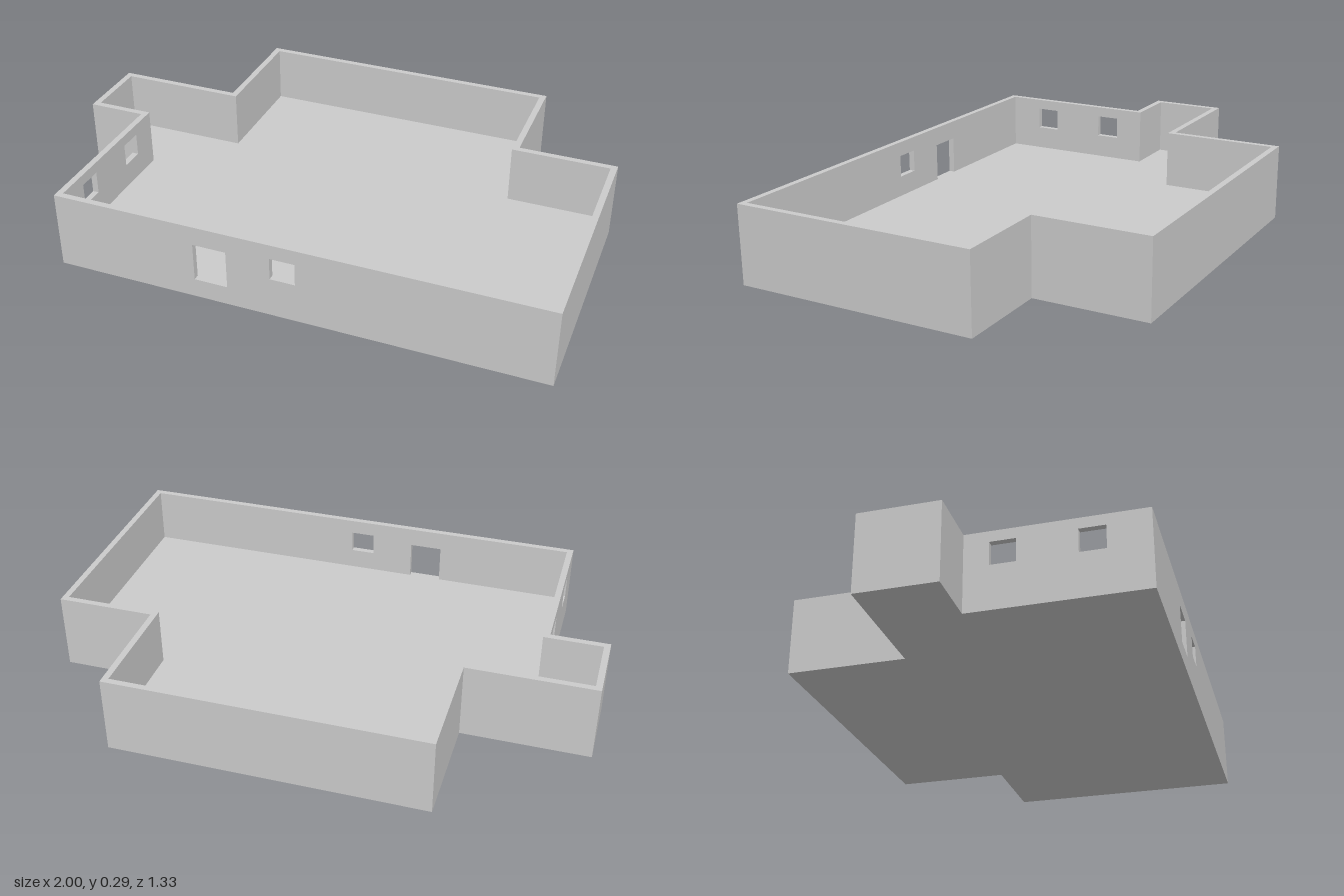
import * as THREE from 'three';

const HEIGHT = 0.288;
const BASE = 0.004;
const FLOOR = 0.072;
const THICK = 0.023;

// Outer corners of the plan as [x, z], walked with the interior on the inward side
const PLAN = [
  [-1, -0.236], [-0.529, -0.236], [-0.529, -0.667], [0.637, -0.667], [0.637, -0.239],
  [1, -0.239], [1, 0.667], [-0.785, 0.667], [-0.785, 0.05], [-1, 0.05],
];

const WALL_NAMES = [
  'backRightWall', 'bayRightWall', 'bayBackWall', 'bayLeftWall', 'backLeftWall',
  'leftWall', 'frontWall', 'rightWall', 'annexFrontWall', 'annexRightWall',
];

// Openings per wall: [start along wall, end along wall, bottom, top]
const OPENINGS = {
  frontWall: [[1.131, 1.254, FLOOR, 0.216], [0.88, 0.971, 0.15, 0.233]],
  rightWall: [[0.147, 0.237, 0.163, 0.248], [0.44, 0.53, 0.163, 0.248]],
};

const UP = new THREE.Vector3(0, 1, 0);
const corner = (i) => {
  const [x, z] = PLAN[(i + PLAN.length) % PLAN.length];
  return new THREE.Vector3(x, 0, z);
};
const direction = (i) => corner(i + 1).sub(corner(i)).normalize();
const inwardOf = (i) => direction(i).cross(UP);

function rectangle(target, x0, x1, y0, y1) {
  target.moveTo(x0, y0).lineTo(x1, y0).lineTo(x1, y1).lineTo(x0, y1).closePath();
  return target;
}

function wallGeometry(i, openings) {
  const along = direction(i);
  const inward = inwardOf(i);
  const length = corner(i).distanceTo(corner(i + 1));

  const shape = rectangle(new THREE.Shape(), 0, length, BASE, HEIGHT);
  for (const o of openings) shape.holes.push(rectangle(new THREE.Path(), ...o));
  const geometry = new THREE.ExtrudeGeometry(shape, { depth: THICK, bevelEnabled: false });

  // Mitre the inner ends: shorter at outward corners, longer at inward ones
  const startTrim = -Math.sign(direction(i - 1).dot(inward)) * THICK;
  const endTrim = Math.sign(direction(i + 1).dot(inward)) * THICK;
  const p = geometry.attributes.position;
  for (let k = 0; k < p.count; k++) {
    if (p.getZ(k) < THICK / 2) continue;
    if (p.getX(k) < 1e-5) p.setX(k, startTrim);
    else if (p.getX(k) > length - 1e-5) p.setX(k, length - endTrim);
  }
  geometry.applyMatrix4(new THREE.Matrix4().makeBasis(along, UP, inward).setPosition(corner(i)));
  geometry.computeVertexNormals();
  return geometry;
}

// Horizontal slab from plan corners
function slabGeometry(corners, bottom, top) {
  const shape = new THREE.Shape(corners.map((c) => new THREE.Vector2(c.x, -c.z)));
  return new THREE.ExtrudeGeometry(shape, { depth: top - bottom, bevelEnabled: false })
    .rotateX(-Math.PI / 2)
    .translate(0, bottom, 0);
}

export function createModel() {
  const model = new THREE.Group();
  model.name = 'roomShell';
  const material = new THREE.MeshStandardMaterial({ color: 0xcccccc });
  const add = (name, geometry) => {
    const mesh = new THREE.Mesh(geometry, material);
    mesh.name = name;
    model.add(mesh);
  };

  // Thin base under everything, and the raised floor between the walls
  const outer = PLAN.map((_, i) => corner(i));
  const inner = outer.map((c, i) => c.clone()
    .addScaledVector(inwardOf(i), THICK)
    .addScaledVector(inwardOf(i - 1), THICK));
  add('base', slabGeometry(outer, 0, BASE));
  add('floor', slabGeometry(inner, BASE, FLOOR));

  // Mitred walls around the plan, with door and window openings
  WALL_NAMES.forEach((name, i) => add(name, wallGeometry(i, OPENINGS[name] ?? [])));

  return model;
}
